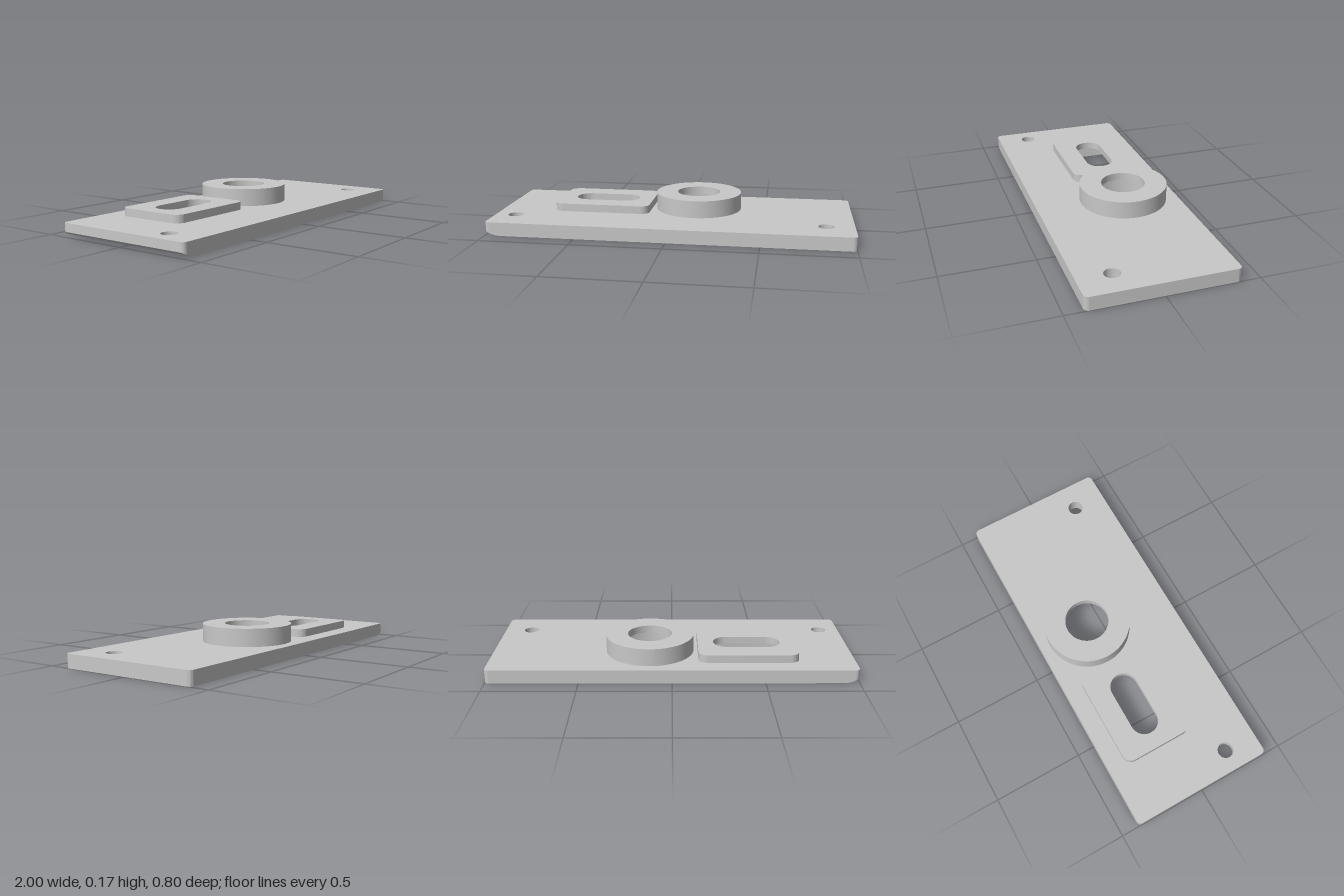
import * as THREE from 'three';
import { toCreasedNormals } from 'three/addons/utils/BufferGeometryUtils.js';

const TOP = 0.075, HALF = 0.4, CORNER = 0.025;   // plate thickness, half depth, corner radius
const SEAM = -0.79;                              // where the curved end meets the flat plate
const BORE_X = -0.885, BOLT_Z = 0.214, BOLT_R = 0.043, BORE_R = 0.086, BORE_TOP = 0.03;
const MID_Z = -0.098, RING_X = 0.123, PAD_X = -0.419;

// rounded rectangle around a centre, in x and z
function roundedRect(path, cx, cz, w, d, r) {
  const x = w / 2, z = d / 2;
  path.absarc(cx + x - r, cz + z - r, r, 0, Math.PI / 2);
  path.absarc(cx - x + r, cz + z - r, r, Math.PI / 2, Math.PI);
  path.absarc(cx - x + r, cz - z + r, r, Math.PI, Math.PI * 1.5);
  path.absarc(cx + x - r, cz - z + r, r, Math.PI * 1.5, Math.PI * 2);
  path.closePath();
  return path;
}
const circle = (x, z, r) => new THREE.Path().absarc(x, z, r, 0, Math.PI * 2);

// upright slab between two heights
function slab(shape, y0, y1) {
  const g = new THREE.ExtrudeGeometry(shape, { depth: y1 - y0, bevelEnabled: false, curveSegments: 24 });
  g.rotateX(Math.PI / 2).translate(0, y1, 0);
  return toCreasedNormals(g, 0.6);
}

// ruled surface between two edge curves sampled along xs
function sheet(xs, a, b) {
  const pos = [], index = [];
  xs.forEach((x, i) => {
    pos.push(...a(x), ...b(x));
    if (i) index.push(2 * i - 2, 2 * i - 1, 2 * i, 2 * i, 2 * i - 1, 2 * i + 1);
  });
  const g = new THREE.BufferGeometry();
  g.setAttribute('position', new THREE.Float32BufferAttribute(pos, 3));
  g.setIndex(index);
  g.computeVertexNormals();
  return g;
}

// underside height at the curved end, and plate half depth at its corners
const rise = x => { const d = Math.max(0, -0.91 - x); return 0.16 - Math.sqrt(0.16 ** 2 - d * d); };
const edge = x => {
  const d = Math.max(0, CORNER - 1 - x);
  return HALF - CORNER + Math.sqrt(Math.max(0, CORNER ** 2 - d * d));
};
const chord = (x, r) => Math.sqrt(Math.max(0, r * r - (x - BORE_X) ** 2));

export function createModel() {
  const model = new THREE.Group();
  const grey = new THREE.MeshStandardMaterial({ color: 0xc8c8c8, side: THREE.DoubleSide });
  grey.name = 'grey metal';
  const add = (name, geometry, parent = model) => {
    const m = new THREE.Mesh(geometry, grey);
    m.name = name;
    parent.add(m);
    return m;
  };

  // flat plate with the boss bore, pad pocket and one bolt hole
  const plate = new THREE.Shape();
  plate.absarc(1 - CORNER, -HALF + CORNER, CORNER, -Math.PI / 2, 0);
  plate.absarc(1 - CORNER, HALF - CORNER, CORNER, 0, Math.PI / 2);
  plate.lineTo(SEAM, HALF);
  plate.lineTo(SEAM, -HALF);
  plate.closePath();
  plate.holes.push(
    circle(RING_X, MID_Z, 0.21),
    circle(0.846, BOLT_Z, BOLT_R),
    roundedRect(new THREE.Path(), PAD_X, MID_Z, 0.47, 0.32, 0.015));
  add('plate', slab(plate, 0, TOP));

  // end of the plate with its curved underside and counterbored bolt hole
  const end = new THREE.Group();
  end.name = 'curvedEnd';
  model.add(end);
  const samples = [SEAM];
  for (let i = 0; i <= 24; i++) {
    const c = Math.cos(Math.PI * i / 24);
    samples.push(BORE_X + BOLT_R * c, BORE_X + BORE_R * c);
    if (i <= 10) samples.push(-1 + CORNER * (1 - Math.cos(Math.PI * i / 20)));
  }
  const xs = [...new Set(samples)].sort((p, q) => p - q);
  for (const s of [-1, 1]) {
    const side = s < 0 ? 'back' : 'front';
    add(side + 'EndTop', sheet(xs,
      x => [x, TOP, s * edge(x)], x => [x, TOP, BOLT_Z + s * chord(x, BOLT_R)]), end);
    add(side + 'EndUnderside', sheet(xs,
      x => [x, rise(x), s * edge(x)], x => [x, rise(x), BOLT_Z + s * chord(x, BORE_R)]), end);
    add(side + 'EndWall', sheet(xs,
      x => [x, rise(x), s * edge(x)], x => [x, TOP, s * edge(x)]), end);
  }
  const tip = new THREE.PlaneGeometry(2 * (HALF - CORNER), TOP - rise(-1));
  tip.rotateY(-Math.PI / 2).rotateX(Math.PI / 2).rotateX(-Math.PI / 2);
  tip.translate(-1, (TOP + rise(-1)) / 2, 0);
  add('endFace', tip, end);

  // bolt hole, ledge and counterbore in the curved end
  const hole = new THREE.CylinderGeometry(BOLT_R, BOLT_R, TOP - BORE_TOP, 48, 1, true);
  add('boltHole', hole.translate(BORE_X, (TOP + BORE_TOP) / 2, BOLT_Z), end);
  const ledge = new THREE.RingGeometry(BOLT_R, BORE_R, 48);
  add('boreLedge', ledge.rotateX(Math.PI / 2).translate(BORE_X, BORE_TOP, BOLT_Z), end);
  const bore = new THREE.CylinderGeometry(BORE_R, BORE_R, BORE_TOP, 48, 1, true);
  bore.translate(BORE_X, BORE_TOP / 2, BOLT_Z);
  const p = bore.attributes.position;
  for (let i = 0; i < p.count; i++) if (p.getY(i) < BORE_TOP / 2) p.setY(i, rise(p.getX(i)));
  add('counterbore', bore, end);

  // round boss, hollow underneath
  const profile = [[0.21, TOP], [0.245, TOP], [0.245, 0.172], [0.123, 0.172], [0.123, 0.131], [0.21, 0.131], [0.21, TOP]];
  const boss = new THREE.LatheGeometry(profile.map(([x, y]) => new THREE.Vector2(x, y)), 72);
  add('boss', toCreasedNormals(boss, 0.6)).position.set(RING_X, 0, MID_Z);

  // raised pad: pocket rim below, slotted top above
  const layers = [
    ['padRim', TOP, 0.08, [0.47, 0.32, 0.015]],
    ['slottedPad', 0.08, 0.119, [0.375, 0.155, 0.0774]],
  ];
  for (const [name, y0, y1, cut] of layers) {
    const shape = roundedRect(new THREE.Shape(), PAD_X, MID_Z, 0.55, 0.4, 0.05);
    shape.holes.push(roundedRect(new THREE.Path(), PAD_X, MID_Z, ...cut));
    add(name, slab(shape, y0, y1));
  }
  return model;
}
